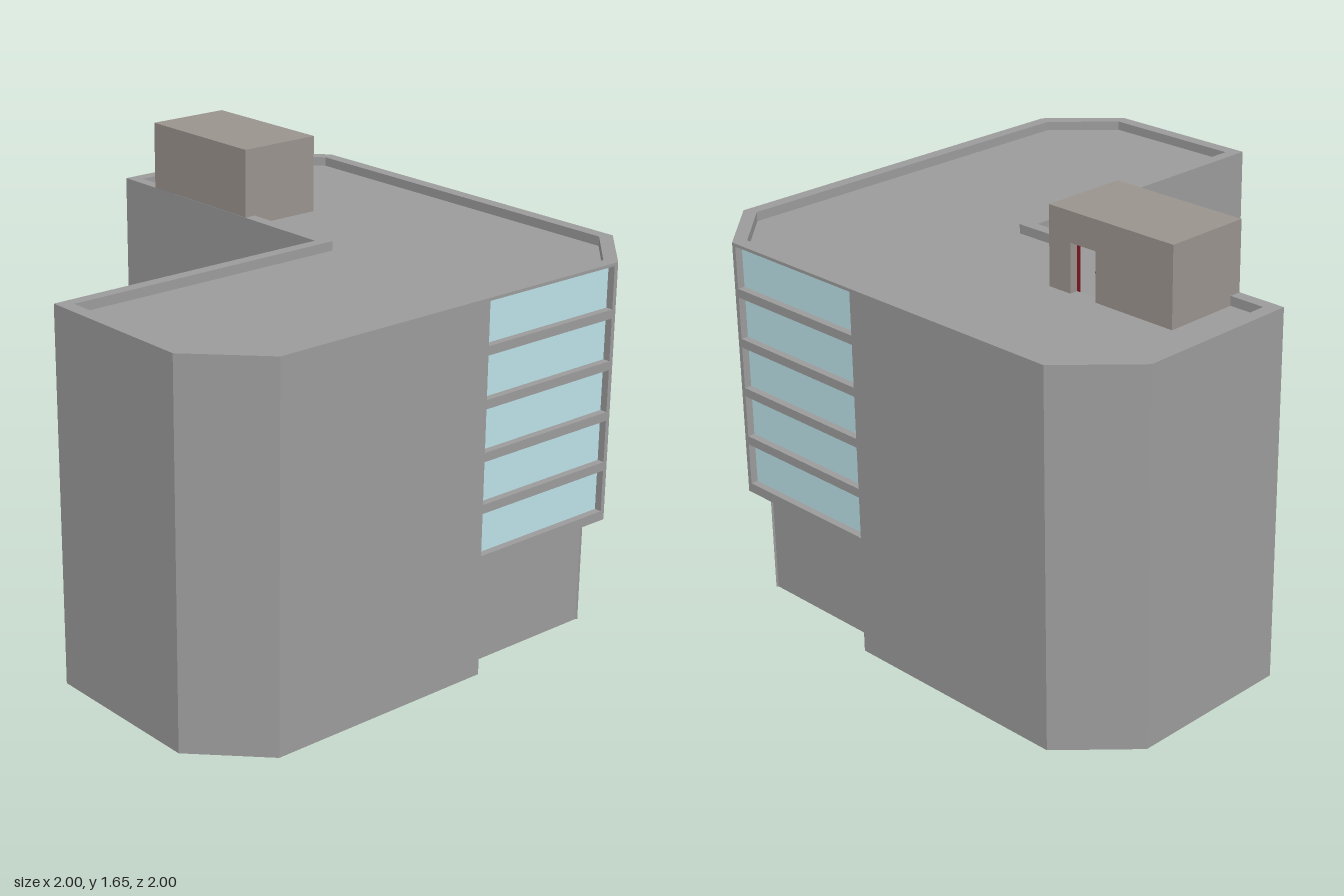
import * as THREE from 'three';

const mat = (color) => new THREE.MeshStandardMaterial({ color, flatShading: true });
const WALL = mat(0x9b9b9b);
const GLASS = mat(0xbce1e8);
const HUT = mat(0x9a938e);
const DOOR = mat(0xcccccc);
const RED = mat(0x8a1a26);
const DARK = mat(0x444444);

const TOP = 1.39, DECK = 1.355, FLOOR1 = 0.42, REVEAL = 0.03, SETBACK = 0.08;
const C = 0.766, S = 0.137, MITRE = Math.tan(Math.PI / 8);

function add(parent, name, geometry, material) {
  const mesh = new THREE.Mesh(geometry, material);
  mesh.name = name;
  parent.add(mesh);
  return mesh;
}

const polygon = (pts) => new THREE.Shape(pts.map(([x, y]) => new THREE.Vector2(x, y)));
const rect = (x0, y0, x1, y1) => [[x0, y0], [x1, y0], [x1, y1], [x0, y1]];

// Plan shape (x, z) raised between two heights
function slab(shape, y0, y1) {
  const g = new THREE.ExtrudeGeometry(shape, { depth: y1 - y0, bevelEnabled: false });
  return g.rotateX(Math.PI / 2).translate(0, y1, 0);
}

// Shape in a wall plane, extruded from z0 to z1
function panel(shape, z0, z1) {
  return new THREE.ExtrudeGeometry(shape, { depth: z1 - z0, bevelEnabled: false }).translate(0, 0, z0);
}

// Box between two corners
function block(x0, y0, z0, x1, y1, z1) {
  return new THREE.BoxGeometry(x1 - x0, y1 - y0, z1 - z0)
    .translate((x0 + x1) / 2, (y0 + y1) / 2, (z0 + z1) / 2);
}

// L-shaped plan; the street corner is pushed in by d, starting at s on both sides
function plan(d, s) {
  const k = C - d * MITRE;
  return [[-1, 0.13], [0.13, 0.13], [0.13, -1], [C, -1], [1, -C],
    [1, s], [1 - d, s], [1 - d, k], [k, 1 - d], [s, 1 - d], [s, 1],
    [-C, 1], [-1, C]];
}

// Group whose local x runs from a to b in plan and whose local z points outwards
function face(name, a, b) {
  const g = new THREE.Group();
  g.name = name;
  g.position.set(a[0], 0, a[1]);
  g.rotation.y = Math.atan2(a[1] - b[1], b[0] - a[0]);
  g.userData.width = Math.hypot(b[0] - a[0], b[1] - a[1]);
  return g;
}

// Wall panel with five ribbon windows; ends meeting the next panel are mitred
function windowFace(name, a, b, marginA, marginB, mitreA, mitreB) {
  const g = face(name, a, b);
  const w = g.userData.width;
  const shape = polygon(rect(0, FLOOR1, w, TOP));
  for (let i = 0; i < 5; i++) {
    const y = 0.456 + i * 0.1912;
    const opening = rect(marginA, y, w - marginB, y + 0.158);
    shape.holes.push(polygon(opening));
    add(g, 'windowPane', new THREE.ShapeGeometry(polygon(opening)), GLASS)
      .position.z = -REVEAL + 0.002;
  }
  const geometry = panel(shape, -REVEAL, 0);
  const p = geometry.attributes.position;
  for (let i = 0; i < p.count; i++) {
    if (p.getZ(i) > -REVEAL / 2) continue;
    if (mitreA && p.getX(i) < 0.001) p.setX(i, REVEAL * MITRE);
    if (mitreB && p.getX(i) > w - 0.001) p.setX(i, w - REVEAL * MITRE);
  }
  geometry.computeVertexNormals();
  add(g, 'windowWall', geometry, WALL);
  return g;
}

export function createModel() {
  const model = new THREE.Group();
  model.name = 'officeBuilding';

  // Main volumes
  add(model, 'groundFloor', slab(polygon(plan(SETBACK, 0.148)), 0, FLOOR1), WALL);
  add(model, 'upperFloors', slab(polygon(plan(REVEAL, S)), FLOOR1, DECK), WALL);

  // Parapet around the roof deck
  const ring = polygon(plan(REVEAL, S));
  ring.holes.push(polygon([[-0.95, 0.175], [0.175, 0.175], [0.175, -0.95], [0.745, -0.95],
    [0.95, -0.745], [0.95, 0.745], [0.745, 0.95], [-0.745, 0.95], [-0.95, 0.745]]));
  add(model, 'parapet', slab(ring, DECK, TOP), WALL);

  // Glazed street corner
  model.add(windowFace('frontWindows', [S, 1], [C, 1], 0.004, 0.017, false, true));
  model.add(windowFace('cornerWindows', [C, 1], [1, C], 0.018, 0.018, true, true));
  model.add(windowFace('sideWindows', [1, C], [1, S], 0.017, 0.004, true, false));

  // Entrance on the set-back diagonal
  const k = C - SETBACK * MITRE;
  const entrance = face('entrance', [k, 1 - SETBACK], [1 - SETBACK, k]);
  const w = entrance.userData.width;
  add(entrance, 'entranceGlass', block(0.004, 0, -0.01, w - 0.004, FLOOR1 - 0.002, 0.002), GLASS);
  for (const [name, x0, y0, x1, y1] of [
    ['leftPost', 0, 0, 0.009, FLOOR1], ['rightPost', w - 0.009, 0, w, FLOOR1],
    ['doorHead', 0, 0.402, w, FLOOR1], ['transom', 0, 0.272, w, 0.294]]) {
    add(entrance, name, block(x0, y0, -0.01, x1, y1, 0.008), WALL);
  }
  model.add(entrance);

  // Stair hut on the roof, its doorway a niche facing +x
  const hut = new THREE.Group();
  hut.name = 'stairHut';
  const niche = 0.038;
  add(hut, 'hutBody', block(0.131, DECK, -0.812, 0.463 - niche, 1.647, -0.26), HUT);
  const wall = face('hutDoorWall', [0.463, -0.26], [0.463, -0.812]);
  const d0 = 0.098, d1 = 0.214, head = 1.536, t = 0.014;
  const hutShape = polygon([[0, DECK], [d0, DECK], [d0, head], [d1, head], [d1, DECK],
    [wall.userData.width, DECK], [wall.userData.width, 1.647], [0, 1.647]]);
  add(wall, 'hutFrontWall', panel(hutShape, -niche, 0), HUT);
  const frame = polygon([[d0, DECK], [d0 + t, DECK], [d0 + t, head - t], [d1 - t, head - t],
    [d1 - t, DECK], [d1, DECK], [d1, head], [d0, head]]);
  add(wall, 'doorFrame', panel(frame, -niche, -niche + 0.006), RED);
  add(wall, 'roofDoor', block(d0 + t, DECK, -niche, d1 - t, head - t, -niche + 0.004), DOOR);
  add(wall, 'doorKnob', new THREE.SphereGeometry(0.005, 8, 6)
    .translate(d1 - 0.026, 1.447, -niche + 0.008), DARK);
  hut.add(wall);
  model.add(hut);

  return model;
}
